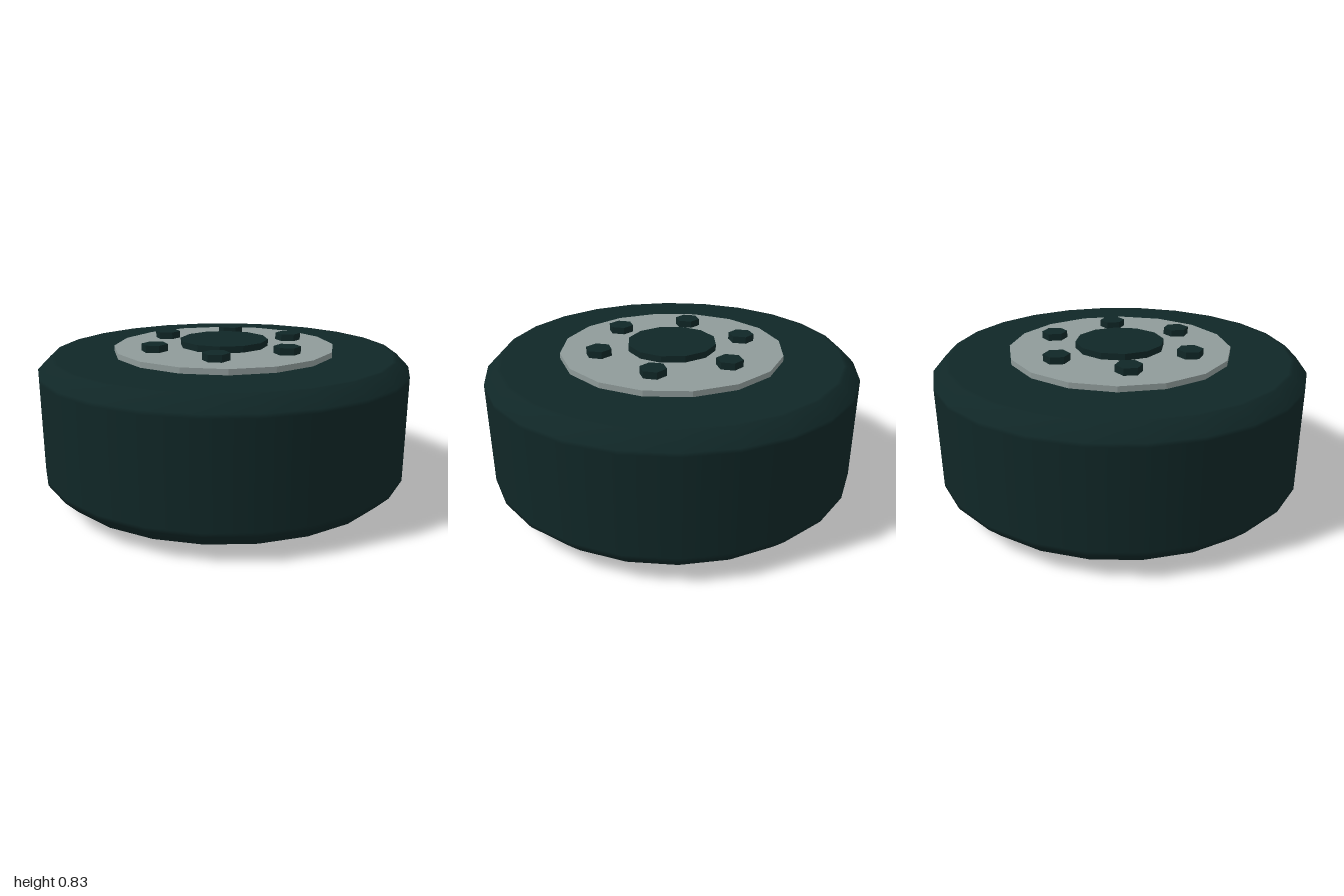
import * as THREE from 'three';

const flat = (geometry) => {
  const g = geometry.toNonIndexed();
  g.computeVertexNormals();
  return g;
};

export function createModel() {
  const group = new THREE.Group();
  const rubber = new THREE.MeshStandardMaterial({ color: 0x102727 });
  rubber.name = 'darkRubber';
  const metal = new THREE.MeshStandardMaterial({ color: 0x8f9b9a });
  metal.name = 'greyMetal';
  const midY = 0.4175;

  const add = (name, geometry, material, x, y, z) => {
    const mesh = new THREE.Mesh(geometry, material);
    mesh.name = name;
    mesh.position.set(x, y, z);
    group.add(mesh);
  };
  const disc = (radius, height, sides) =>
    flat(new THREE.CylinderGeometry(radius, radius, height, sides));

  // Tyre: smooth ring with chamfered shoulders
  const half = [[0.5, 0.35], [0.91, 0.35], [0.93, 0.35], [1, 0.28], [1, 0.26]];
  const profile = [
    ...half.map(([r, y]) => new THREE.Vector2(r, -y)),
    ...half.slice().reverse().map(([r, y]) => new THREE.Vector2(r, y)),
  ];
  add('tyre', new THREE.LatheGeometry(profile, 24), rubber, 0, midY, 0);

  // Rim and hub run through the wheel and show on both sides
  add('rim', disc(0.6, 0.76, 16), metal, 0, midY, 0);
  add('hub', disc(0.24, 0.83, 12), rubber, 0, midY, 0);

  // Six hexagonal nuts on each side
  const nut = disc(0.07, 0.045, 6);
  for (const side of [-1, 1]) {
    for (let i = 0; i < 6; i++) {
      const a = (i * Math.PI) / 3;
      add('wheelNut', nut, rubber, 0.4 * Math.cos(a), midY + side * 0.395, 0.4 * Math.sin(a));
    }
  }
  return group;
}
